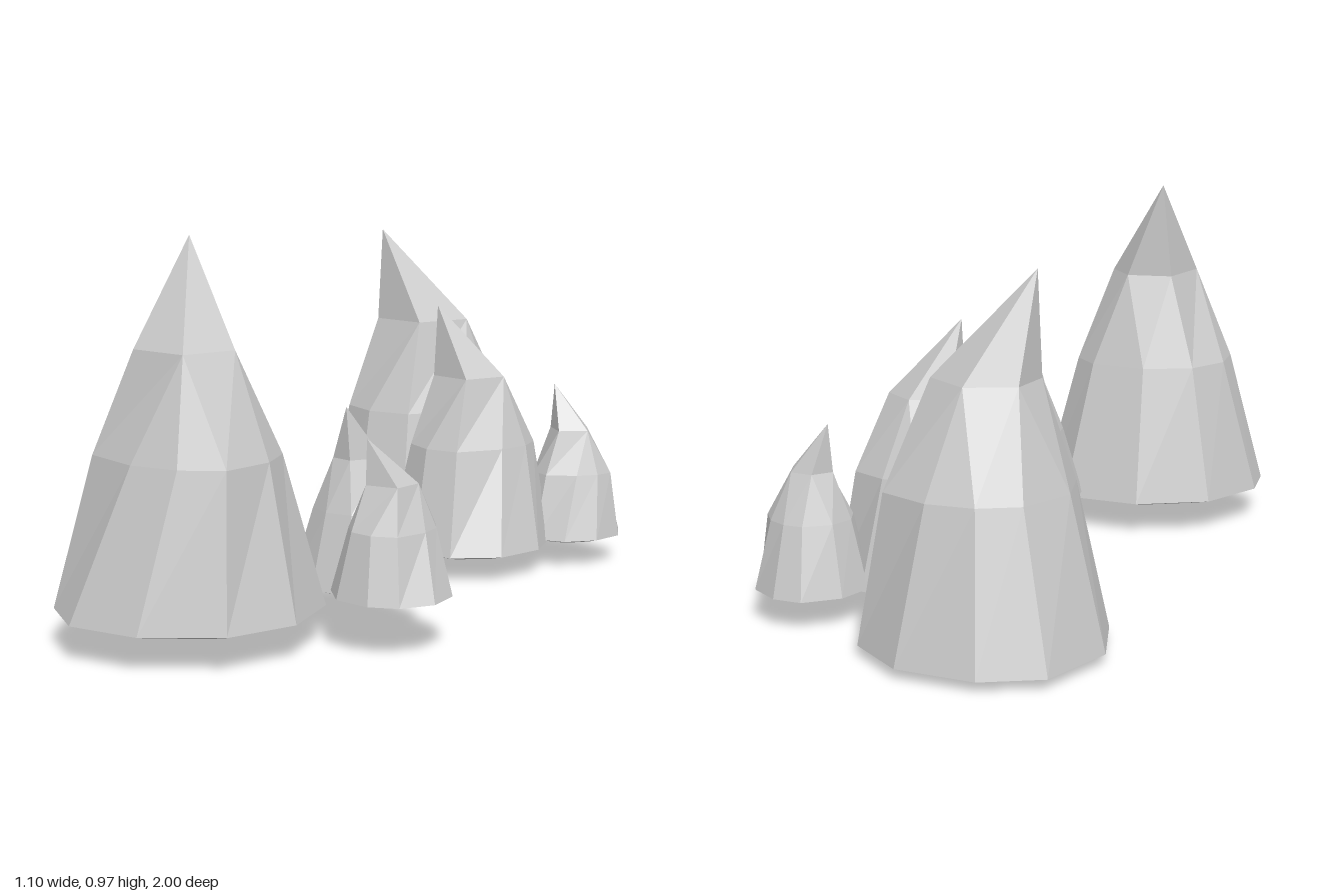
import * as THREE from 'three';

// Ten-point outline of the foot, as [x, z] for a rock of radius 1
const FOOT = [[0, -1], [0.71, -0.85], [1, -0.4], [1, 0.28], [0.64, 0.8],
  [0, 1], [-0.63, 0.84], [-1, 0.35], [-1, -0.16], [-0.64, -0.75]];
// Uneven waist of the rock
const WAIST = [[0, -0.7], [0.5, -0.55], [0.7, -0.25], [0.74, 0.15], [0.57, 0.6],
  [0.21, 0.69], [-0.21, 0.6], [-0.69, 0.25], [-0.68, -0.18], [-0.44, -0.55]];
// Five-cornered shoulder, and the corner that each waist point runs up to
const SHOULDER = [[0.15, 0.41], [0.41, 0], [0.21, -0.37], [-0.2, -0.37], [-0.36, 0.18]];
const SHOULDER_OF = [2, 2, 1, 1, 0, 0, 0, 4, 4, 3];
const APEX = [-0.115, -0.37];

function rockGeometry() {
  const ring = (points, y, s = 1) => points.map(([x, z]) => new THREE.Vector3(x * s, y, z * s));
  const rings = [
    ring(FOOT, 0, 0),
    ring(FOOT, 0.0, 0.7),
    ring(FOOT, 0.08),
    ring(WAIST, 1.3),
    ring(SHOULDER_OF.map((i) => SHOULDER[i]), 2.13),
    ring(FOOT.map(() => APEX), 2.98),
  ];
  const points = [];
  // Shared corners collapse to nothing and are left out
  const triangle = (a, b, c) => {
    if (a.equals(b) || b.equals(c) || a.equals(c)) return;
    points.push(a, b, c);
  };
  for (let r = 0; r < rings.length - 1; r++) {
    const low = rings[r], high = rings[r + 1];
    for (let i = 0; i < 10; i++) {
      const j = (i + 1) % 10;
      triangle(low[j], low[i], high[i]);
      triangle(low[j], high[i], high[j]);
    }
  }
  const geometry = new THREE.BufferGeometry().setFromPoints(points);
  geometry.computeVertexNormals();
  return geometry;
}

export function createModel() {
  const group = new THREE.Group();
  group.name = 'rockSpires';
  const geometry = rockGeometry();
  const material = new THREE.MeshStandardMaterial({ color: 0xcccccc, flatShading: true });

  // One rock, turned and scaled: name, foot centre, radius, height, turn in degrees
  const rocks = [
    ['frontLargeRock', -0.245, 0.062, 0.69, 0.305, 0.908, 0],
    ['frontSmallRock', 0.222, 0.115, 0.56, 0.149, 0.385, 95],
    ['frontMiddleRock', 0.083, 0.092, 0.38, 0.155, 0.458, 149],
    ['backLargeRock', -0.075, 0, -0.68, 0.305, 0.908, 77],
    ['backMiddleRock', 0.163, 0.05, -0.335, 0.226, 0.675, 75],
    ['backSmallRock', 0.408, 0.062, -0.52, 0.144, 0.428, 46],
  ];
  for (const [name, x, y, z, radius, height, turn] of rocks) {
    const rock = new THREE.Mesh(geometry, material);
    rock.name = name;
    rock.position.set(x, y, z);
    rock.scale.set(radius, height / 2.98, radius);
    rock.rotation.y = THREE.MathUtils.degToRad(turn);
    group.add(rock);
  }
  return group;
}
